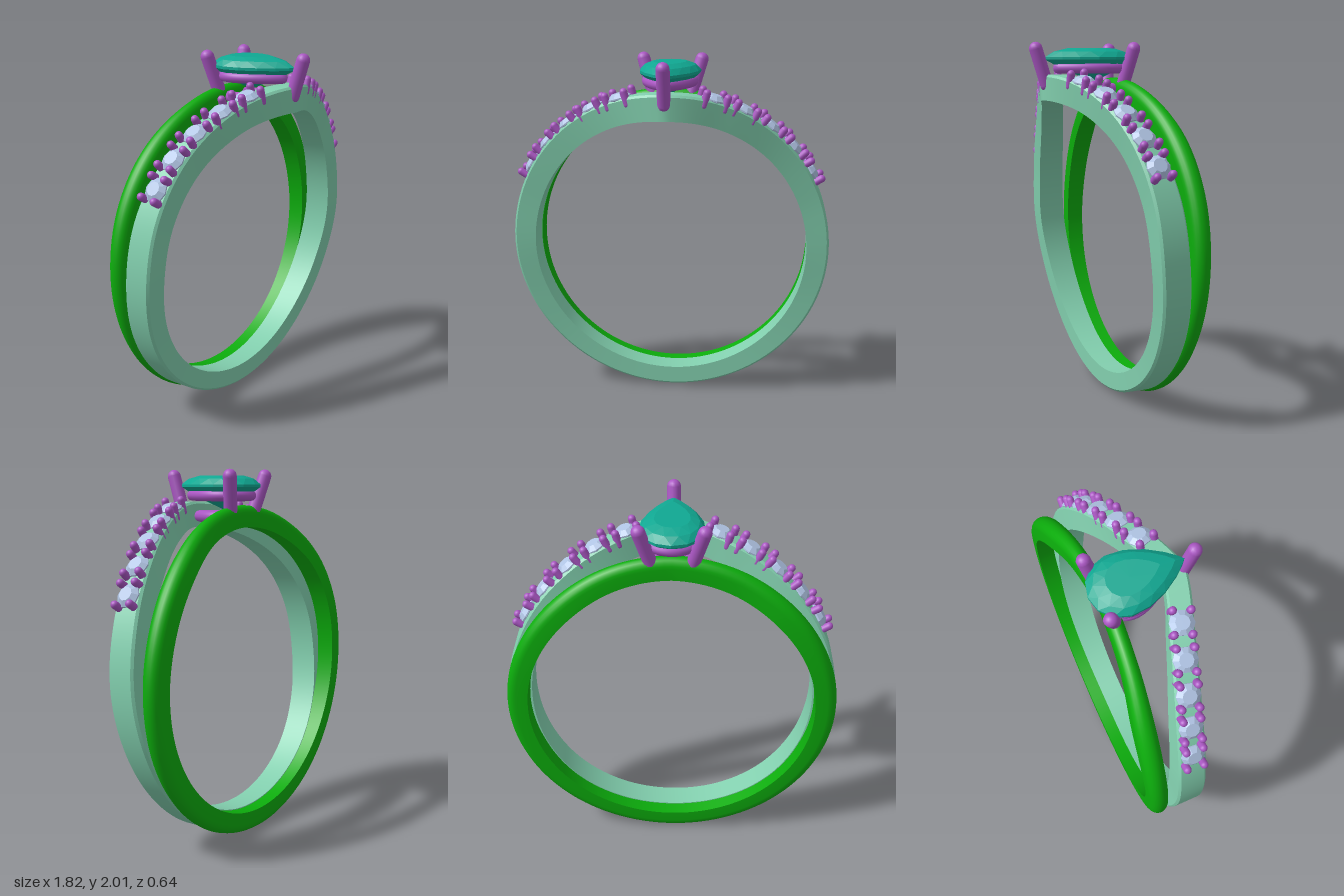
import * as THREE from 'three';
import { toCreasedNormals } from 'three/addons/utils/BufferGeometryUtils.js';

const V = (x, y, z) => new THREE.Vector3(x, y, z);
const CY = 0.9; // height of the ring axis
const mat = (color, flatShading = false) => new THREE.MeshStandardMaterial({ color, flatShading });

const sageMat = mat(0x82cfae);
const greenMat = mat(0x0cad0c);
const clawMat = mat(0xab57c4);
const stoneMat = mat(0xb0c4e4, true);
const pearMat = mat(0x10a892, true);

function mesh(name, geometry, material) {
  const m = new THREE.Mesh(geometry, material);
  m.name = name;
  return m;
}

// Skin of triangles over rows of points; each row is closed, rows may close too
function skin(rows, closeRows) {
  const pos = [], idx = [], n = rows[0].length;
  rows.forEach(row => row.forEach(p => pos.push(p.x, p.y, p.z)));
  const last = closeRows ? rows.length : rows.length - 1;
  for (let i = 0; i < last; i++) {
    for (let j = 0; j < n; j++) {
      const i2 = (i + 1) % rows.length, j2 = (j + 1) % n;
      const a = i * n + j, b = i2 * n + j, c = i * n + j2, d = i2 * n + j2;
      idx.push(a, b, c, c, b, d);
    }
  }
  const g = new THREE.BufferGeometry();
  g.setAttribute('position', new THREE.Float32BufferAttribute(pos, 3));
  g.setIndex(idx);
  g.computeVertexNormals();
  return g;
}

// Smooth value around half the ring: first entry is the top, last the bottom
function around(values) {
  const curve = new THREE.SplineCurve(values.map((v, i) => new THREE.Vector2(i, v)));
  return theta => curve.getPoint(Math.min(1, Math.abs(theta) / Math.PI)).y;
}

// Band swept round the ring; section(theta) gives [radius, z] corners
function band(name, section, material) {
  const rows = [], n = 144;
  for (let i = 0; i < n; i++) {
    const t = (i <= n / 2 ? i : i - n) / n * Math.PI * 2;
    rows.push(section(t).map(([r, z]) => V(r * Math.sin(t), CY + r * Math.cos(t), z)));
  }
  return mesh(name, toCreasedNormals(skin(rows, true), 0.5), material);
}

// Round-ended rod between two points
function claw(name, a, b, radius) {
  const d = b.clone().sub(a);
  const m = mesh(name, new THREE.CapsuleGeometry(radius, d.length(), 6, 14), clawMat);
  m.position.copy(a).add(b).multiplyScalar(0.5);
  m.quaternion.setFromUnitVectors(V(0, 1, 0), d.normalize());
  return m;
}

// Pear outline, point towards +z, scaled about the heart of the stone
function pear(a, s, y) {
  const x = 0.212 * Math.sin(a) * Math.pow(Math.abs(Math.sin(a / 2)), 0.8);
  const z = -0.022 + 0.2525 * Math.cos(a);
  return V(x * s, y, -0.06 + (z + 0.06) * s);
}

const sageFront = around([0.245, 0.14, 0.05, -0.002, -0.03, -0.07, -0.1, -0.113, -0.115]);
const sageWidth = t => 0.13 + 0.03 * Math.sin(t) ** 2;
const greenFront = around([-0.14, -0.16, -0.19, -0.213, -0.222, -0.225, -0.23, -0.232, -0.235]);
const greenBack = around([-0.225, -0.25, -0.3, -0.32, -0.322, -0.322, -0.322, -0.322, -0.322]);

// Front band: thicker at the top, slightly chamfered outer edges
function sageSection(t) {
  const f = sageFront(t), b = f - sageWidth(t), r = 0.91 + 0.015 * Math.cos(t), c = 0.012;
  return [[r - c, f], [r, f - c], [r, b + c], [r - c, b], [0.785, b], [0.785, f]];
}

// Rear band: flat inside and sides, rounded outside
function greenSection(t) {
  const f = greenFront(t), b = greenBack(t), mid = (f + b) / 2, half = (f - b) / 2;
  const pts = [];
  for (let k = 0; k <= 10; k++) {
    const a = k / 10 * Math.PI;
    pts.push([0.855 + 0.053 * Math.sin(a), mid + half * Math.cos(a)]);
  }
  pts.push([0.79, b], [0.79, f]);
  return pts;
}

// Small round stone with its four claws; y is the outward direction
function accent(name) {
  const g = new THREE.Group();
  g.name = name;
  const profile = [[0, -0.05], [0.066, 0], [0.066, 0.008], [0.038, 0.03], [0, 0.03]];
  g.add(mesh('accentStone',
    new THREE.LatheGeometry(profile.map(p => new THREE.Vector2(...p)), 10), stoneMat));
  for (const sx of [-1, 1]) for (const sz of [-1, 1]) {
    const x = sx * 0.06, z = sz * 0.046;
    g.add(claw('accentClaw', V(x, -0.035, z), V(x, 0.034, z), 0.021));
  }
  return g;
}

// Place an accent on the front band, turned to follow its slant
function placeAccent(g, t) {
  const at = a => V(0.92 * Math.sin(a), CY + 0.92 * Math.cos(a), sageFront(a) - sageWidth(a) / 2);
  const out = V(Math.sin(t), Math.cos(t), 0);
  const along = at(t + 0.02).sub(at(t - 0.02));
  along.addScaledVector(out, -along.dot(out)).normalize();
  const side = along.clone().cross(out);
  g.quaternion.setFromRotationMatrix(new THREE.Matrix4().makeBasis(along, out, side));
  g.position.copy(at(t));
}

// Faceted pear stone: table, crown, girdle and pavilion, rows staggered
function pearStone() {
  const n = 16;
  const levels = [ // scale, height, stagger
    [0, 1.968, 0], [0.55, 1.968, 0], [0.83, 1.95, 0.5], [1, 1.92, 1], [1, 1.905, 1],
    [0.62, 1.85, 1.5], [0, 1.785, 2]];
  const rows = levels.map(([s, y, o]) =>
    Array.from({ length: n }, (_, j) => pear((j + o) / n * Math.PI * 2, s, y)));
  return mesh('pearStone', skin(rows, false).toNonIndexed(), pearMat);
}

// Pear-shaped wire under the centre stone
function gallery(name, scale, y, radius) {
  const pts = Array.from({ length: 24 }, (_, j) => pear(j / 24 * Math.PI * 2, scale, y));
  const path = new THREE.CatmullRomCurve3(pts, true);
  return mesh(name, new THREE.TubeGeometry(path, 64, radius, 12, true), clawMat);
}

export function createModel() {
  const model = new THREE.Group();
  model.name = 'ringPair';

  model.add(band('frontBand', sageSection, sageMat));
  model.add(band('rearBand', greenSection, greenMat));

  // Five accents down each shoulder
  for (const side of [-1, 1]) for (let i = 0; i < 5; i++) {
    const g = accent(side > 0 ? 'leftAccent' : 'rightAccent');
    placeAccent(g, side * THREE.MathUtils.degToRad(16 + 10.7 * i));
    model.add(g);
  }

  // Centre setting
  const setting = new THREE.Group();
  setting.name = 'centreSetting';
  setting.add(pearStone());
  setting.add(gallery('upperGallery', 0.74, 1.86, 0.03));
  setting.add(gallery('lowerGallery', 0.56, 1.745, 0.032));
  setting.add(claw('frontClaw', V(0, 1.77, 0.222), V(0, 1.964, 0.285), 0.037));
  for (const s of [-1, 1]) {
    setting.add(claw('backClaw', V(s * 0.1, 1.745, -0.185), V(s * 0.165, 1.964, -0.225), 0.037));
  }
  model.add(setting);
  return model;
}
